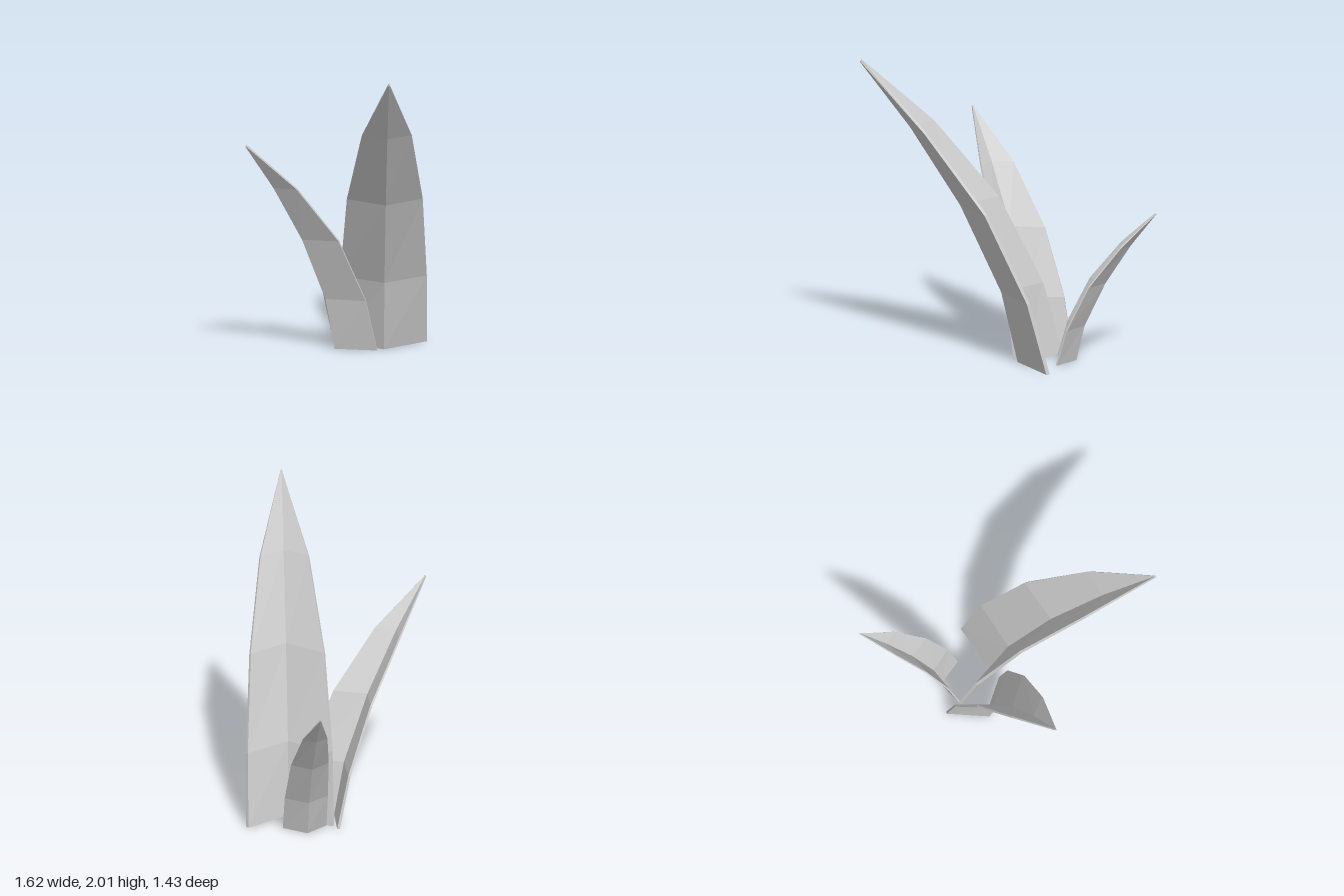
import * as THREE from 'three';

// Leaf rows from base to tip: height, half width, keel z, edge z
const ROWS = [
  [0, 0.22, -0.06, -0.235],
  [0.345, 0.217, 0.02, -0.14],
  [0.77, 0.19, 0.22, 0.07],
  [1.15, 0.125, 0.465, 0.375],
  [1.465, 0.004, 0.71, 0.706],
];

// Thin V-shaped blade, folded along its keel and arching towards +z
function leafGeometry() {
  const loops = ROWS.map(([y, w, keel, edge], i) => {
    const t = 1 - 0.17 * i; // thins towards the tip
    const up = y + 0.003 * i; // inner skin rises as the blade leans
    const wi = Math.max(w - 0.011 * t, 0.002);
    const inEdge = edge - 0.015 * t;
    return [
      [-w, y, edge], [0, y, keel], [w, y, edge],
      [wi, up, inEdge], [0, up, keel - 0.032 * t], [-wi, up, inEdge],
    ];
  });
  const pos = [];
  const quad = (a, b, c, d) => pos.push(...a, ...b, ...c, ...a, ...c, ...d);

  for (let i = 0; i < loops.length - 1; i++) {
    for (let j = 0; j < 6; j++) {
      const k = (j + 1) % 6;
      quad(loops[i][j], loops[i][k], loops[i + 1][k], loops[i + 1][j]);
    }
  }
  // Base and tip caps
  const b = loops[0], t = loops[loops.length - 1];
  quad(b[5], b[4], b[1], b[0]);
  quad(b[4], b[3], b[2], b[1]);
  quad(t[0], t[1], t[4], t[5]);
  quad(t[1], t[2], t[3], t[4]);

  const geo = new THREE.BufferGeometry();
  geo.setAttribute('position', new THREE.Float32BufferAttribute(pos, 3));
  geo.computeVertexNormals();
  return geo;
}

export function createModel() {
  const group = new THREE.Group();
  group.name = 'plant';
  const geo = leafGeometry();
  const mat = new THREE.MeshStandardMaterial({ color: 0xcccccc, flatShading: true });

  // Same leaf at three sizes, each leaning along (dx, dz)
  const leaves = [
    { name: 'frontLeaf', x: -0.23, z: 0, dx: 0, dz: 1, size: 1, width: 1 },
    { name: 'tallLeaf', x: 0.057, z: -0.243, dx: 0.78, dz: 0.625, size: 1.36, width: 1.31 },
    { name: 'smallLeaf', x: -0.4, z: -0.464, dx: -0.85, dz: -0.53, size: 0.68, width: 0.66 },
  ];
  for (const l of leaves) {
    const leaf = new THREE.Mesh(geo, mat);
    leaf.name = l.name;
    leaf.position.set(l.x, 0, l.z);
    leaf.rotation.y = Math.atan2(l.dx, l.dz);
    leaf.scale.set(l.width, l.size, l.size);
    group.add(leaf);
  }
  return group;
}
